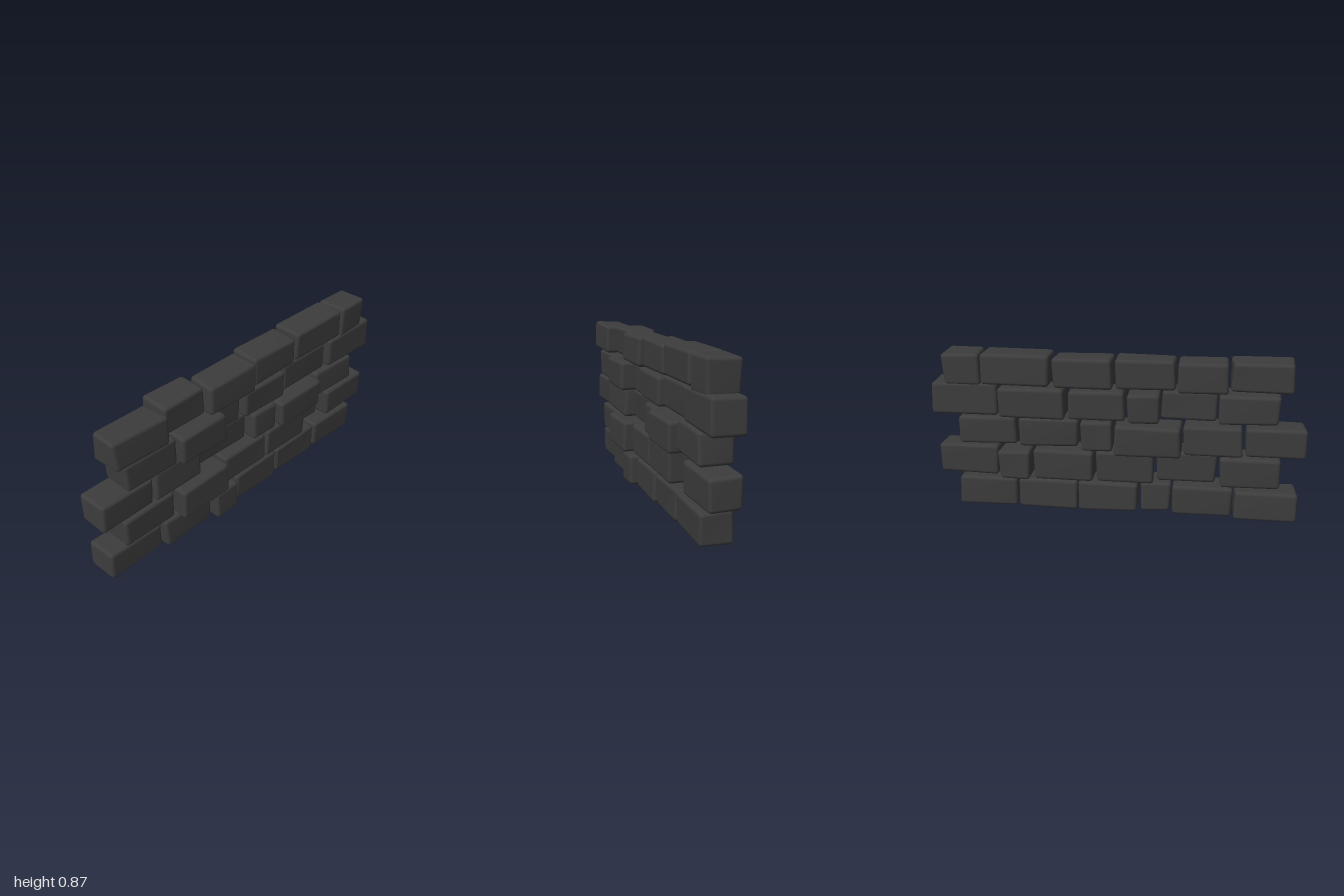
import * as THREE from 'three';
import { RoundedBoxGeometry } from 'three/addons/geometries/RoundedBoxGeometry.js';
import { mergeVertices } from 'three/addons/utils/BufferGeometryUtils.js';

// Each course: bottom, top, and its stones as [left, right, z shift, bottom trim, top trim]
const COURSES = [
  { y0: 0.01, y1: 0.185, stones: [
    [-0.97, -0.635, -0.03, 0, 0.01], [-0.633, -0.307, 0], [-0.305, -0.13, 0.03],
    [-0.125, 0.203, 0], [0.207, 0.535, 0], [0.54, 0.872, 0, 0.002, 0]] },
  { y0: 0.182, y1: 0.36, stones: [
    [-0.875, -0.548, 0, 0, 0.008], [-0.545, -0.213, 0.045], [-0.21, 0.11, 0],
    [0.113, 0.447, 0], [0.45, 0.63, -0.055, 0.015, -0.01], [0.635, 0.968, 0, 0.015, -0.01]] },
  { y0: 0.355, y1: 0.525, stones: [
    [-1, -0.68, 0], [-0.675, -0.355, 0], [-0.353, 0.007, -0.052],
    [0.015, 0.193, 0], [0.196, 0.53, 0.032], [0.528, 0.85, 0, 0.022, -0.015]] },
  { y0: 0.53, y1: 0.695, stones: [
    [-0.86, -0.538, 0.015], [-0.535, -0.235, 0.055], [-0.235, -0.06, -0.025],
    [-0.055, 0.262, 0], [0.265, 0.625, -0.025, 0.005, -0.01], [0.628, 0.995, 0, 0.01, -0.025]] },
  { y0: 0.7, y1: 0.865, stones: [
    [-0.922, -0.593, 0.04], [-0.585, -0.32, -0.01], [-0.315, 0.012, 0.025],
    [0.015, 0.338, 0], [0.343, 0.715, 0, 0.005, -0.015], [0.715, 0.925, 0, 0, -0.015]] },
];
const DEPTH = 0.175;
const MID_Z = -0.005;

// Small repeatable number generator, 0..1
function seeded(seed) {
  let s = seed;
  return () => {
    s = (s * 16807) % 2147483647;
    return s / 2147483647;
  };
}

// Rounded block whose eight corners are each pulled in slightly, blended across the block
function stoneGeometry(w, h, d, rand) {
  const geo = new RoundedBoxGeometry(w, h, d, 3, 0.02);
  const pull = Array.from({ length: 8 }, () => {
    const k = Math.pow(rand(), 2);
    return [0.014 * k, 0.014 * rand() * rand(), 0.018 * rand() * rand()];
  });
  const pos = geo.attributes.position;
  const v = new THREE.Vector3();
  for (let i = 0; i < pos.count; i++) {
    v.fromBufferAttribute(pos, i);
    const t = [v.x / w + 0.5, v.y / h + 0.5, v.z / d + 0.5];
    const move = [0, 0, 0];
    for (let c = 0; c < 8; c++) {
      const bits = [c & 1, (c >> 1) & 1, (c >> 2) & 1];
      const weight = bits.reduce((p, b, a) => p * (b ? t[a] : 1 - t[a]), 1);
      for (let a = 0; a < 3; a++) move[a] += weight * pull[c][a] * (bits[a] ? -1 : 1);
    }
    pos.setXYZ(i, v.x + move[0], v.y + move[1], v.z + move[2]);
  }
  // Weld so the worn edges shade smoothly
  geo.deleteAttribute('normal');
  geo.deleteAttribute('uv');
  const welded = mergeVertices(geo, 1e-5);
  welded.computeVertexNormals();
  return welded;
}

export function createModel() {
  const wall = new THREE.Group();
  wall.name = 'stoneWall';
  const material = new THREE.MeshStandardMaterial({ color: 0x3c3c3c });
  const rand = seeded(4217);
  COURSES.forEach(({ y0, y1, stones }, row) => {
    const course = new THREE.Group();
    course.name = `course${row + 1}`;
    stones.forEach(([x0, x1, shift, trimLow = 0, trimHigh = 0], i) => {
      const bottom = y0 + trimLow;
      const top = y1 - trimHigh;
      const stone = new THREE.Mesh(stoneGeometry(x1 - x0, top - bottom, DEPTH, rand), material);
      stone.name = `stone${row + 1}_${i + 1}`;
      stone.position.set((x0 + x1) / 2, (bottom + top) / 2, MID_Z + shift);
      course.add(stone);
    });
    wall.add(course);
  });
  // Rest the lowest stones on the ground
  wall.position.y = -new THREE.Box3().setFromObject(wall, true).min.y;
  return wall;
}
